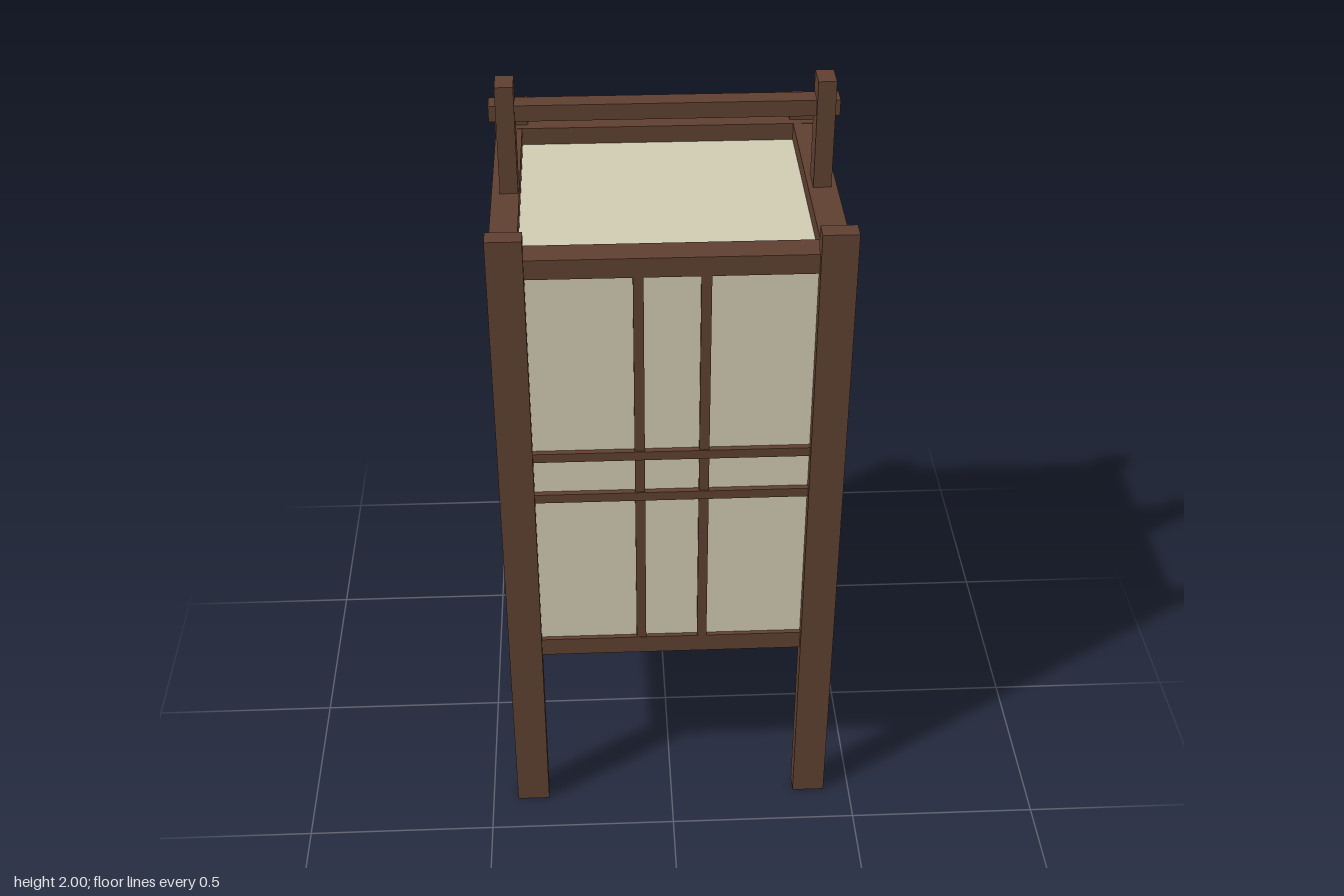
import * as THREE from 'three';

export function createModel() {
  const model = new THREE.Group();
  model.name = 'paperLantern';
  const wood = new THREE.MeshStandardMaterial({ name: 'darkWood', color: 0x5f4030 });
  const paper = new THREE.MeshStandardMaterial({ name: 'ricePaper', color: 0xd1cbb2 });

  // Box given by its minimum and maximum along each axis
  function box(name, material, [x0, x1], [y0, y1], [z0, z1]) {
    const mesh = new THREE.Mesh(new THREE.BoxGeometry(x1 - x0, y1 - y0, z1 - z0), material);
    mesh.position.set((x0 + x1) / 2, (y0 + y1) / 2, (z0 + z1) / 2);
    mesh.name = name;
    model.add(mesh);
  }
  const span = (centre, size) => [centre - size / 2, centre + size / 2];

  // Paper shade, closed at top and bottom
  box('paperShade', paper, [-0.408, 0.408], [0.555, 1.675], [-0.364, 0.364]);

  // Top frame rails
  box('topFrontRail', wood, [-0.415, 0.415], [1.67, 1.721], [0.305, 0.377]);
  box('topBackRail', wood, [-0.415, 0.415], [1.67, 1.721], [-0.375, -0.323]);
  box('topLeftRail', wood, [0.35, 0.422], [1.67, 1.72], [-0.365, 0.365]);
  box('topRightRail', wood, [-0.428, -0.36], [1.67, 1.72], [-0.365, 0.365]);

  for (const s of [-1, 1]) {
    // Corner legs
    for (const t of [-1, 1]) {
      box('cornerLeg', wood, span(s * 0.387 - 0.001, 0.087), [0, 1.78], span(t * 0.37, 0.048));
    }

    // Bottom frame rails
    box('bottomLongRail', wood, [-0.415, 0.415], [0.519, 0.571], span(s * 0.35, 0.052));
    box('bottomSideRail', wood, span(s * 0.397, 0.052), [0.52, 0.57], [-0.365, 0.365]);

    // Lattice: two crossbars and two uprights on each face
    for (const y of [1.038, 1.163]) {
      box('longCrossbar', wood, [-0.36, 0.36], span(y, 0.025), span(s * 0.368, 0.022));
      box('sideCrossbar', wood, span(s * 0.412, 0.022), span(y, 0.025), [-0.355, 0.355]);
    }
    for (const t of [-1, 1]) {
      box('longUpright', wood, span(t * 0.08, 0.025), [0.55, 1.69], span(s * 0.365, 0.02));
      box('sideUpright', wood, span(s * 0.409, 0.02), [0.55, 1.69], span(t * 0.07, 0.022));
    }

    // Handle posts
    box('handlePost', wood, span(s * 0.385, 0.045), [1.7, 2], [-0.03, 0.04]);
  }

  // Carrying bar
  box('carryingBar', wood, [-0.425, 0.42], [1.907, 1.948], [-0.02, 0.03]);

  return model;
}
